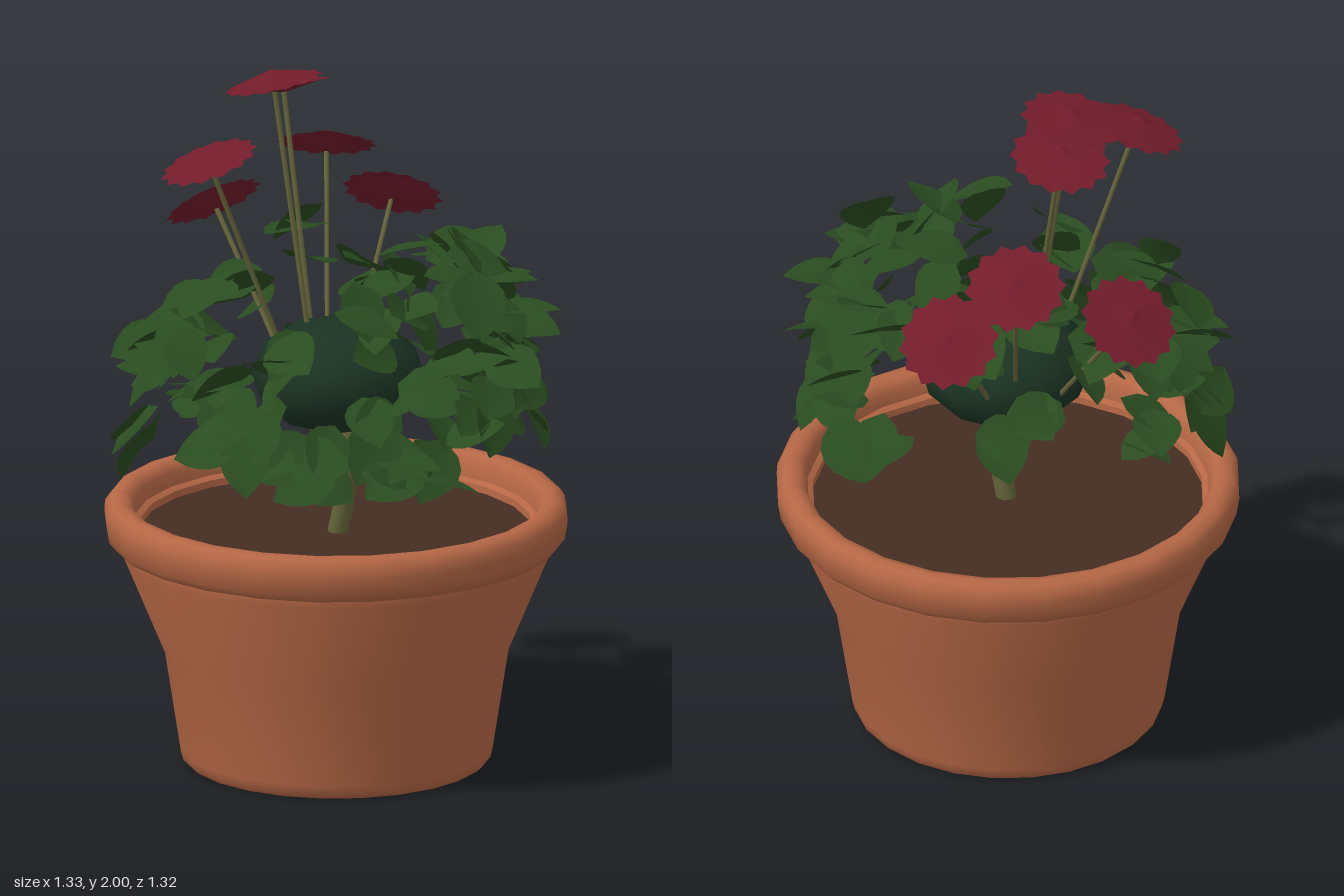
import * as THREE from 'three';
import { toCreasedNormals } from 'three/addons/utils/BufferGeometryUtils.js';

const V = (x, y, z) => new THREE.Vector3(x, y, z);
const mat = (name, color, extra = {}) => {
  const m = new THREE.MeshStandardMaterial({ color, ...extra });
  m.name = name;
  return m;
};

// Small seeded generator returning -1..1
function seeded(seed) {
  return () => {
    seed = (seed * 16807) % 2147483647;
    return (seed / 2147483647) * 2 - 1;
  };
}

// Ovate leaf, base at origin, tip along +y, folded along the midrib
function leafGeometry(length, halfWidth) {
  const g = new THREE.PlaneGeometry(2, 1, 2, 6);
  const p = g.attributes.position;
  for (let i = 0; i < p.count; i++) {
    const t = p.getY(i) + 0.5, side = p.getX(i);
    const w = halfWidth * Math.pow(Math.max(0, Math.sin(Math.PI * Math.pow(t, 0.85))), 0.8);
    p.setXYZ(i, side * w, t * length, Math.abs(side) * w * 0.15 - 0.02 * t * t);
  }
  g.computeVertexNormals();
  return g;
}

// Ring of pointed petals: a shallow cone with a zigzag edge
function petalLayer(radius, height, points) {
  const g = new THREE.ConeGeometry(radius, height, points * 2, 1, true);
  const p = g.attributes.position;
  for (let i = 0; i < p.count; i++) {
    if (p.getY(i) < 0 && (i % (points * 2 + 1)) % 2) {
      p.setXYZ(i, p.getX(i) * 0.87, p.getY(i) + 0.002, p.getZ(i) * 0.87);
    }
  }
  g.computeVertexNormals();
  return g;
}

export function createModel() {
  const model = new THREE.Group();
  model.name = 'pottedPlant';
  const terracotta = mat('terracotta', 0xb56745);
  const soilBrown = mat('soilBrown', 0x452c21);
  const stemOlive = mat('stemOlive', 0x65643a);
  const leafGreen = mat('leafGreen', 0x2a4c20, { side: THREE.DoubleSide });
  const coreGreen = mat('coreGreen', 0x1b3323);
  const petalRed = mat('petalRed', 0x731c2b, { side: THREE.DoubleSide, flatShading: true });

  const add = (parent, name, geometry, material) => {
    const mesh = new THREE.Mesh(geometry, material);
    mesh.name = name;
    parent.add(mesh);
    return mesh;
  };

  // Pot: flared wall, collar, rounded rim and inner wall
  const profile = [
    [0, 0], [0.425, 0], [0.438, 0.012], [0.445, 0.04], [0.49, 0.33], [0.606, 0.61],
    [0.607, 0.63], [0.632, 0.638], [0.65, 0.66], [0.658, 0.71],
    [0.656, 0.74], [0.64, 0.762], [0.615, 0.768], [0.59, 0.762], [0.575, 0.74],
    [0.57, 0.70], [0.555, 0.69], [0.55, 0.62],
  ].map(([r, y]) => new THREE.Vector2(r, y));
  add(model, 'pot', toCreasedNormals(new THREE.LatheGeometry(profile, 24), 0.8), terracotta);

  // Soil
  const soil = add(model, 'soil', new THREE.CircleGeometry(0.56, 24), soilBrown);
  soil.rotation.x = -Math.PI / 2;
  soil.position.y = 0.67;

  // Trunk
  const trunkPath = new THREE.CatmullRomCurve3([
    V(0.01, 0.65, 0.01), V(0.04, 0.78, 0.01), V(0.07, 0.89, 0.025), V(0.07, 1.05, 0.03)]);
  add(model, 'trunk', new THREE.TubeGeometry(trunkPath, 8, 0.03, 7), stemOlive);

  // Dense heart of the bush
  const core = add(model, 'bushCore', new THREE.IcosahedronGeometry(1, 1), coreGreen);
  core.scale.set(0.245, 0.165, 0.25);
  core.position.set(0, 1.125, -0.01);

  // Leaves: four around each cluster point; low ones droop, high ones lie flatter
  const clusters = [
    [0.1, 1.42, -0.43], [0.2, 1.25, -0.49], [0.3, 1.15, -0.42], [0.34, 1.36, -0.3],
    [0.14, 1.02, -0.5], [-0.12, 1.3, -0.32], [0.3, 1.45, -0.17], [0.13, 1.43, -0.14],
    [0.45, 1.3, -0.2], [0.42, 1.02, -0.32], [0.54, 1.25, -0.05], [0.55, 1.13, 0.08],
    [0.47, 1.38, 0.02], [0.5, 1.0, 0.16], [0.5, 1.2, 0.24], [0.42, 1.08, 0.34],
    [0.3, 1.36, 0.28], [0.22, 1.0, 0.43], [0.35, 1.0, 0.28], [0.14, 1.28, 0.4],
    [0.0, 1.1, 0.52], [0.12, 1.0, 0.5], [-0.1, 1.25, 0.48], [-0.07, 1.02, 0.34],
    [-0.2, 1.12, 0.32], [-0.25, 1.36, 0.3], [-0.32, 1.2, 0.4], [-0.4, 1.28, 0.32],
    [-0.41, 0.97, 0.36], [-0.48, 1.15, 0.2], [-0.44, 1.25, 0.08], [-0.45, 1.0, 0.06],
    [-0.39, 1.3, -0.08], [-0.24, 1.43, -0.22], [-0.26, 1.1, -0.28], [0.24, 1.38, -0.4],
    [0.55, 1.27, 0.1], [0.53, 1.08, -0.15], [0.38, 1.2, -0.37], [0.43, 1.38, 0.15],
  ];
  const rnd = seeded(417);
  const leafShape = leafGeometry(0.2, 0.077);
  const leaves = new THREE.Group();
  leaves.name = 'leaves';
  model.add(leaves);
  for (const [x, y, z] of clusters) {
    const out = V(x, 0, z).normalize();
    const lean = y < 1.15 ? 0.65 : 0.2;
    for (let k = -1.5; k <= 1.5; k++) {
      const normal = out.clone().multiplyScalar(lean + rnd() * 0.35)
        .add(V(rnd() * 0.6, 0.75, rnd() * 0.6)).normalize();
      const tip = out.clone().applyAxisAngle(V(0, 1, 0), k * 0.6 + rnd() * 0.5);
      tip.addScaledVector(normal, -tip.dot(normal)).normalize();
      const side = tip.clone().cross(normal);
      const leaf = add(leaves, 'leaf', leafShape, leafGreen);
      leaf.quaternion.setFromRotationMatrix(new THREE.Matrix4().makeBasis(side, tip, normal));
      leaf.position.set(x + rnd() * 0.05, y + rnd() * 0.07, z + rnd() * 0.05)
        .addScaledVector(tip, -0.1);
      leaf.scale.setScalar(0.95 + rnd() * 0.13);
    }
  }

  // Flowers: bloom centre and facing direction
  const blooms = [
    [V(-0.18, 1.51, -0.53), V(-0.25, 0.78, -0.62)],
    [V(-0.31, 1.665, -0.39), V(-0.25, 0.9, -0.42)],
    [V(-0.53, 1.515, -0.145), V(-0.6, 0.8, -0.2)],
    [V(-0.245, 1.925, -0.085), V(-0.25, 1, -0.12)],
    [V(-0.19, 1.965, 0.04), V(-0.23, 1, 0.04)],
    [V(-0.2, 1.8, 0.34), V(-0.22, 1, 0.28)],
  ];
  const layers = [0.145, 0.115, 0.085, 0.055, 0.024].map((r, i) =>
    petalLayer(r, 0.008, 14 - i * 2));
  const cup = new THREE.CylinderGeometry(0.11, 0.012, 0.022, 16);
  blooms.forEach(([pos, facing]) => {
    const dir = facing.normalize();
    const base = V(pos.x * 0.12 - 0.02, 0.94, pos.z * 0.1);
    const stemPath = new THREE.QuadraticBezierCurve3(
      base, base.clone().lerp(pos, 0.55), pos.clone().addScaledVector(dir, -0.015));
    add(model, 'flowerStem', new THREE.TubeGeometry(stemPath, 8, 0.0075, 6), stemOlive);

    const flower = new THREE.Group();
    flower.name = 'flower';
    flower.position.copy(pos);
    flower.quaternion.setFromUnitVectors(V(0, 1, 0), dir);
    model.add(flower);
    layers.forEach((g, i) => {
      const ring = add(flower, 'petalRing', g, petalRed);
      ring.position.y = i * 0.008;
      ring.rotation.y = i * 0.2;
    });
    add(flower, 'flowerCup', cup, petalRed).position.y = -0.016;
  });

  return model;
}
